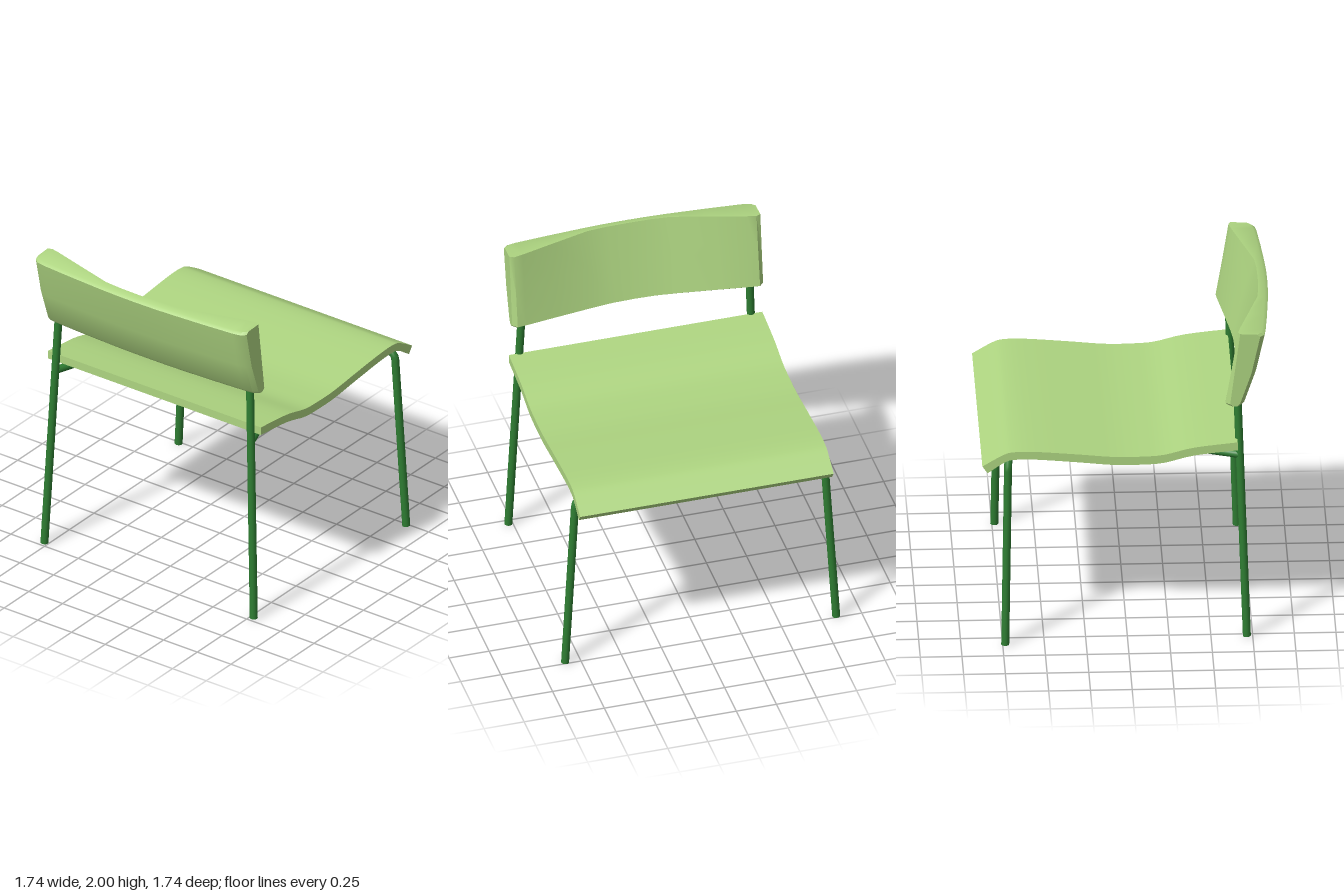
import * as THREE from 'three';
import { toCreasedNormals } from 'three/addons/utils/BufferGeometryUtils.js';

const V = (x, y, z) => new THREE.Vector3(x, y, z);

// Wavy seat sheet: side profile (z, y) swept across the width
function seatGeometry() {
  const top = [[0.66, 1.287], [0.4, 1.257], [0.22, 1.213], [0.08, 1.203], [-0.08, 1.204], [-0.3, 1.225],
    [-0.55, 1.246], [-0.68, 1.246], [-0.75, 1.226], [-0.87, 1.155]];
  const bottom = [[-0.838, 1.11], [-0.735, 1.18], [-0.67, 1.196], [-0.55, 1.195], [-0.3, 1.173], [-0.08, 1.151],
    [0.08, 1.15], [0.22, 1.16], [0.4, 1.205], [0.66, 1.235]];
  const smooth = pts => new THREE.SplineCurve(pts.map(p => new THREE.Vector2(...p))).getPoints(36);
  const shape = new THREE.Shape([...smooth(top), ...smooth(bottom)]);
  const g = new THREE.ExtrudeGeometry(shape, { depth: 1.58, bevelEnabled: false });
  g.rotateY(-Math.PI / 2).translate(0.79, 0, 0);
  return toCreasedNormals(g, 0.6);
}

// Curved, leaning back panel lofted from cross-sections along x
function backrestGeometry() {
  // x, front-bottom z, front-top z, back-top z, back-bottom z
  const half = [[0, 0.672, 0.81, 0.868, 0.735], [0.14, 0.668, 0.808, 0.866, 0.734], [0.26, 0.655, 0.798, 0.861, 0.731],
    [0.5, 0.622, 0.732, 0.846, 0.72], [0.7, 0.593, 0.676, 0.83, 0.708], [0.755, 0.587, 0.664, 0.82, 0.7],
    [0.782, 0.615, 0.675, 0.795, 0.675]];
  const rows = [...half.slice(1).reverse().map(([x, ...r]) => [-x, ...r]), ...half];
  const pos = [], idx = [];
  let n = 0;
  for (const [x, fb, ft, bt, bb] of rows) {
    const ring = [[fb, 1.535], [(fb + ft) / 2, 1.76], [ft, 2], [bt - 0.02, 1.995], [bt, 1.98],
      [(bt + bb) / 2 + 0.008, 1.74], [bb, 1.54], [bb - 0.02, 1.52], [fb + 0.02, 1.52]];
    n = ring.length;
    for (const [z, y] of ring) pos.push(x, y, z);
  }
  for (let i = 0; i < rows.length - 1; i++) {
    for (let j = 0; j < n; j++) {
      const a = i * n + j, b = i * n + (j + 1) % n;
      idx.push(a, b, b + n, a, b + n, a + n);
    }
  }
  const last = (rows.length - 1) * n;
  for (let j = 1; j < n - 1; j++) {
    idx.push(0, j + 1, j);
    idx.push(last, last + j, last + j + 1);
  }
  const g = new THREE.BufferGeometry();
  g.setAttribute('position', new THREE.Float32BufferAttribute(pos, 3));
  g.setIndex(idx);
  return toCreasedNormals(g, 0.7);
}

export function createModel() {
  const model = new THREE.Group();
  model.name = 'chair';
  const panel = new THREE.MeshStandardMaterial({ name: 'light green', color: 0xaed581 });
  const frame = new THREE.MeshStandardMaterial({ name: 'dark green', color: 0x2e7d32 });

  const add = (name, geometry, material) => {
    const mesh = new THREE.Mesh(geometry, material);
    mesh.name = name;
    model.add(mesh);
  };

  // Round rod through the given corners, with each inner corner bent, and closed ends
  const rod = (name, points, bend = 0.05) => {
    const path = new THREE.CurvePath();
    let from = points[0];
    for (let i = 1; i < points.length - 1; i++) {
      const c = points[i];
      const a = c.clone().add(points[i - 1].clone().sub(c).setLength(bend));
      const b = c.clone().add(points[i + 1].clone().sub(c).setLength(bend));
      path.add(new THREE.LineCurve3(from, a));
      path.add(new THREE.QuadraticBezierCurve3(a, c, b));
      from = b;
    }
    const end = points[points.length - 1];
    path.add(new THREE.LineCurve3(from, end));
    add(name, new THREE.TubeGeometry(path, points.length > 2 ? 60 : 4, 0.024, 14), frame);
    for (const [p, q] of [[points[0], points[1]], [end, points[points.length - 2]]]) {
      const cap = new THREE.CircleGeometry(0.024, 14);
      cap.lookAt(p.clone().sub(q)).translate(p.x, p.y, p.z);
      add(name + 'Cap', cap, frame);
    }
  };

  add('seat', seatGeometry(), panel);
  add('backrest', backrestGeometry(), panel);

  for (const s of [1, -1]) {
    const side = s > 0 ? 'left' : 'right';
    // Leg under the seat lip, bending inward beneath the seat
    rod(side + 'LipLeg', [V(s * 0.845, 0, -0.735), V(s * 0.775, 1.172, -0.715), V(s * 0.3, 1.222, -0.66)]);
    // Upright leg carrying the backrest
    rod(side + 'BackrestLeg', [V(s * 0.777, 0, 0.715), V(s * 0.708, 1.6, 0.66)]);
    // Slanted stay from the upright to the seat underside
    rod(side + 'SeatStay', [V(s * 0.727, 1.18, 0.67), V(s * 0.56, 1.184, 0.2)]);
  }
  return model;
}
